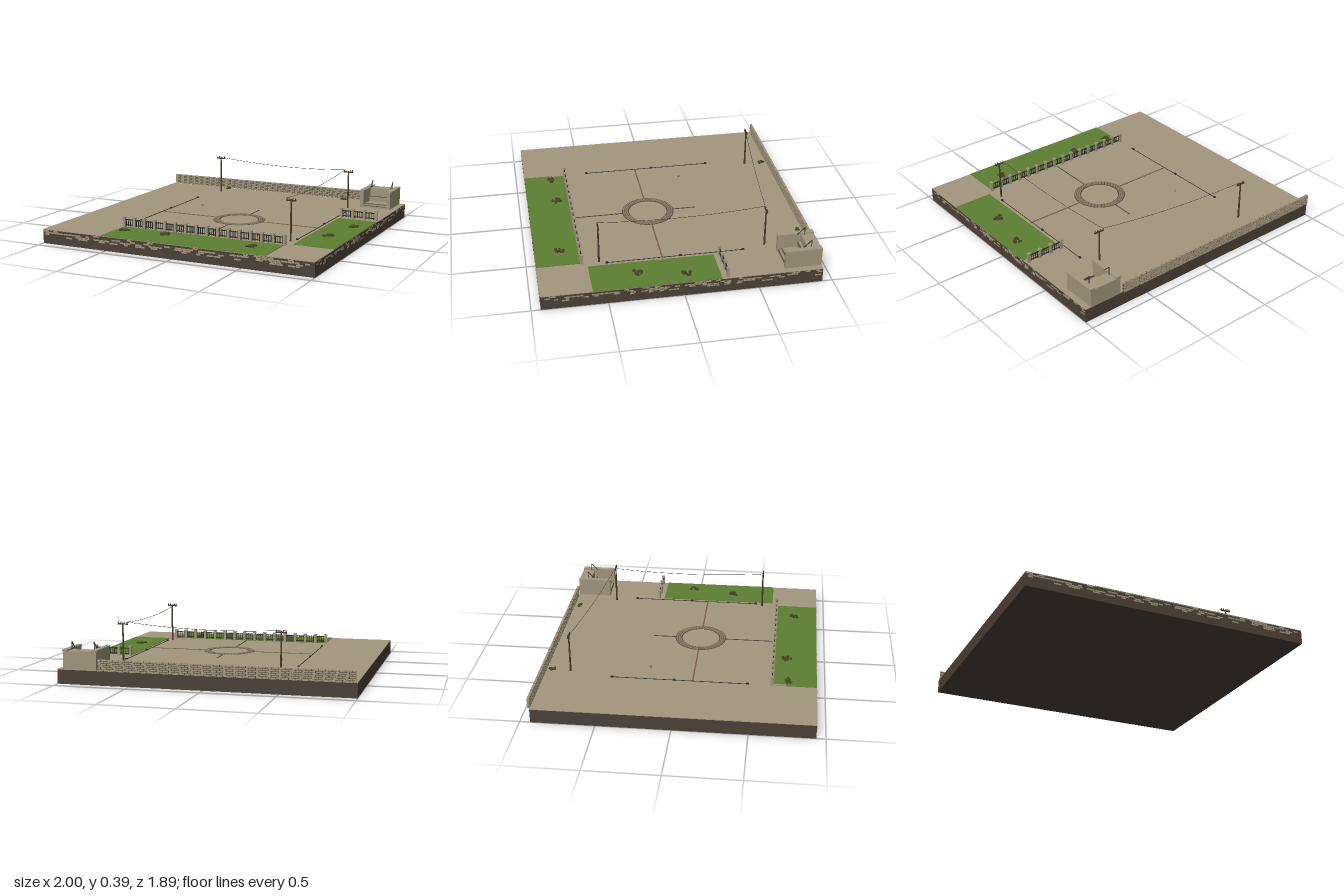
import * as THREE from 'three';
import { mergeGeometries } from 'three/addons/utils/BufferGeometryUtils.js';

const mat = (name, color) => Object.assign(new THREE.MeshStandardMaterial({ color }), { name });

export function createModel() {
  const M = {
    sand: mat('sand', 0xa39680), soil: mat('soil', 0x4d4035), grass: mat('grass', 0x5d7f33),
    stone: mat('stone', 0xa0937a), paving: mat('paving', 0x887a64), mortar: mat('mortar', 0x4f4538),
    wood: mat('wood', 0x4a3a2a), iron: mat('iron', 0x2f302e), leaf: mat('leaf', 0x42451f),
    channel: mat('channel', 0x7d6244),
  };
  const model = new THREE.Group();
  const G = 0.1; // ground level

  let seed = 7;
  const rnd = () => (seed = (seed * 16807) % 2147483647) / 2147483647;

  // box given by its limits on each axis
  const box = (x0, x1, y0, y1, z0, z1) =>
    new THREE.BoxGeometry(x1 - x0, y1 - y0, z1 - z0).translate((x0 + x1) / 2, (y0 + y1) / 2, (z0 + z1) / 2);
  const add = (name, material, parts, parent = model) => {
    const mesh = new THREE.Mesh(Array.isArray(parts) ? mergeGeometries(parts) : parts, material);
    mesh.name = name;
    parent.add(mesh);
    return mesh;
  };

  // ground slab and lawns
  add('groundSlab', M.soil, box(-1, 1, 0, G - 0.004, -0.93, 0.938));
  add('plazaFloor', M.sand, box(-1, 1, G - 0.004, G, -0.93, 0.938));
  add('frontLawn', M.grass, box(-0.535, 0.67, G, G + 0.003, 0.645, 0.938));
  add('sideLawn', M.grass, box(0.715, 1, G, G + 0.003, -0.25, 0.6));
  add('lawnKerb', M.sand, box(-0.535, -0.522, G, G + 0.006, 0.645, 0.73));

  // scattered bricks showing on the front and right faces of the slab
  const bricks = [];
  const rows = [0.35, 0.6, 0.45, 0.3];
  const scatter = (from, to, place) => rows.forEach((fill, r) => {
    const y = 0.082 - r * 0.0115 + 0.003;
    for (let p = from + rnd() * 0.02; p < to - 0.05;) {
      const w = 0.025 + rnd() * 0.025;
      if (rnd() < fill) bricks.push(place(p, p + w, y, y + 0.0095));
      p += w + 0.003;
    }
  });
  scatter(-1, 1, (a, b, y0, y1) => box(a, b, y0, y1, 0.936, 0.941));
  scatter(-0.93, 0.93, (a, b, y0, y1) => box(0.997, 1.001, y0, y1, a, b));
  add('slabBricks', M.stone, bricks);

  // brick wall along the back
  add('backWallCore', M.mortar, box(-0.988, 0.708, G, 0.174, -0.942, -0.932));
  const wall = [];
  for (let r = 0; r < 6; r++) {
    const y = G + 0.001 + r * 0.0128;
    for (let x = -0.99 - (r % 2) * 0.02; x < 0.705; x += 0.0425) {
      wall.push(box(Math.max(x, -0.99), Math.min(x + 0.0385, 0.71), y, y + 0.0098, -0.945, -0.929));
    }
  }
  add('backWallBricks', M.stone, wall);

  // ring of paving stones and the channels running to it
  const cx = 0.09, cz = 0.095;
  const ringBed = new THREE.RingGeometry(0.135, 0.185, 64).rotateX(-Math.PI / 2).translate(cx, G + 0.002, cz);
  add('ringBed', M.mortar, ringBed);
  const stones = [];
  [[0.147, 38], [0.160, 42], [0.174, 46]].forEach(([r, n], k) => {
    for (let i = 0; i < n; i++) {
      const w = (2 * Math.PI * r / n) * (0.72 + rnd() * 0.18);
      stones.push(new THREE.BoxGeometry(w, 0.006, 0.0105).translate(0, 0, r)
        .rotateY((i + k * 0.5) / n * Math.PI * 2).translate(cx, G + 0.003, cz));
    }
  });
  add('ringStones', M.paving, stones);
  add('crossChannels', M.channel, [
    box(-0.54, cx - 0.185, G, G + 0.003, cz - 0.005, cz + 0.005),
    box(cx + 0.185, 0.70, G, G + 0.003, cz - 0.005, cz + 0.005),
  ]);
  add('lengthChannels', M.mortar, [
    box(cx - 0.003, cx + 0.003, G, G + 0.003, -0.25, cz - 0.185),
    box(cx - 0.003, cx + 0.003, G, G + 0.003, cz + 0.185, 0.62),
  ]);

  // low bollards with a thin line between them, on both sides of the square
  for (const x of [-0.535, 0.69]) {
    const parts = [box(x - 0.0012, x + 0.0012, G, G + 0.004, -0.46, 0.47)];
    for (const z of [-0.46, -0.03, 0.47]) parts.push(box(x - 0.006, x + 0.006, G, G + 0.009, z - 0.009, z + 0.009));
    add(x < 0 ? 'rightBollards' : 'leftBollards', M.iron, parts);
  }
  add('looseStone', M.paving, new THREE.DodecahedronGeometry(0.009).translate(-0.37, G + 0.004, -0.215));

  // fences: stone posts with iron rails and bars
  const fence = (name, x0, x1, n, z) => {
    const group = new THREE.Group();
    group.name = name;
    model.add(group);
    const posts = [], iron = [];
    const step = (x1 - x0) / (n - 1);
    for (let i = 0; i < n; i++) {
      const x = x0 + i * step;
      posts.push(box(x - 0.009, x + 0.009, G, 0.162, z - 0.009, z + 0.009));
      posts.push(box(x - 0.012, x + 0.012, 0.162, 0.17, z - 0.012, z + 0.012));
      if (i === n - 1) continue;
      for (const y of [0.115, 0.152]) iron.push(box(x, x + step, y - 0.003, y + 0.003, z - 0.003, z + 0.003));
      for (let k = 1; k < 5; k++) {
        const bx = x + step * k / 5;
        iron.push(box(bx - 0.002, bx + 0.002, 0.106, 0.158, z - 0.002, z + 0.002));
      }
    }
    add('fencePosts', M.stone, posts, group);
    add('fenceBars', M.iron, iron, group);
  };
  fence('frontFence', -0.535, 0.67, 16, 0.635);
  fence('sideFence', 0.72, 0.98, 4, -0.29);

  // shrubs made of small leafy lumps
  const shrub = (x, z, spread, n) => {
    const lumps = [];
    for (let i = 0; i < n; i++) {
      const a = rnd() * Math.PI * 2, d = Math.sqrt(rnd()) * spread;
      lumps.push(new THREE.IcosahedronGeometry(0.009 + rnd() * 0.004, 0).scale(1, 0.75, 1)
        .rotateY(a).translate(x + Math.cos(a) * d, G + 0.007, z + Math.sin(a) * d));
    }
    add('shrub', M.leaf, lumps);
  };
  [[-0.47, 0.75], [-0.165, 0.73], [0.495, 0.77], [0.9, -0.03], [0.84, 0.285]].forEach(([x, z]) => shrub(x, z, 0.034, 13));
  [[-0.47, -0.89], [0.52, -0.89]].forEach(([x, z]) => shrub(x, z, 0.02, 8));

  // utility poles with cross-arms and insulators
  const pole = (x, z) => {
    const parts = [
      new THREE.CylinderGeometry(0.005, 0.007, 0.28, 8).translate(x, G + 0.14, z).toNonIndexed(),
      box(x - 0.036, x + 0.036, 0.368, 0.376, z - 0.004, z + 0.004).toNonIndexed(),
    ];
    for (const dx of [-0.031, -0.014, 0.014, 0.031]) {
      parts.push(new THREE.CylinderGeometry(0.003, 0.003, 0.012, 6).translate(x + dx, 0.382, z).toNonIndexed());
    }
    add('utilityPole', M.wood, parts);
  };
  [[-0.48, -0.76], [0.65, -0.62], [0.665, 0.52]].forEach(([x, z]) => pole(x, z));

  // sagging wires
  const wire = (x0, z0, x1, z1) => {
    const path = new THREE.QuadraticBezierCurve3(
      new THREE.Vector3(x0, 0.386, z0),
      new THREE.Vector3((x0 + x1) / 2, 0.336, (z0 + z1) / 2),
      new THREE.Vector3(x1, 0.386, z1));
    add('wire', M.iron, new THREE.TubeGeometry(path, 24, 0.0013, 5));
  };
  wire(-0.511, -0.76, 0.619, -0.62);
  wire(0.619, -0.62, 0.634, 0.52);

  // stepped entrance in the back corner
  const entrance = new THREE.Group();
  entrance.name = 'entrance';
  model.add(entrance);
  add('entranceWalls', M.stone, [
    box(0.724, 0.752, G, 0.222, -0.93, -0.682),
    box(0.93, 0.958, G, 0.222, -0.93, -0.682),
    box(0.752, 0.93, G, 0.215, -0.93, -0.845),
  ], entrance);
  add('entranceCaps', M.sand, [
    box(0.72, 0.756, 0.222, 0.232, -0.93, -0.679),
    box(0.926, 0.962, 0.222, 0.232, -0.93, -0.679),
    box(0.756, 0.926, 0.215, 0.222, -0.93, -0.84),
  ], entrance);
  add('entranceSteps', M.stone, [
    box(0.752, 0.93, G, 0.16, -0.845, -0.82),
    box(0.752, 0.93, G, 0.125, -0.82, -0.71),
    box(0.752, 0.93, G, 0.113, -0.71, -0.688),
  ], entrance);
  add('stepEdges', M.mortar, [
    box(0.756, 0.926, 0.16, 0.163, -0.826, -0.82),
    box(0.756, 0.926, 0.125, 0.128, -0.716, -0.71),
    box(0.756, 0.926, 0.113, 0.116, -0.694, -0.688),
  ], entrance);

  // handrails on the walls
  for (const x of [0.762, 0.92]) {
    const slope = new THREE.BoxGeometry(0.004, 0.004, 0.075).rotateX(Math.PI / 4).translate(x, 0.253, -0.838);
    add('handrail', M.iron, [slope, box(x - 0.002, x + 0.002, 0.222, 0.28, -0.866, -0.862)], entrance);
  }
  return model;
}
